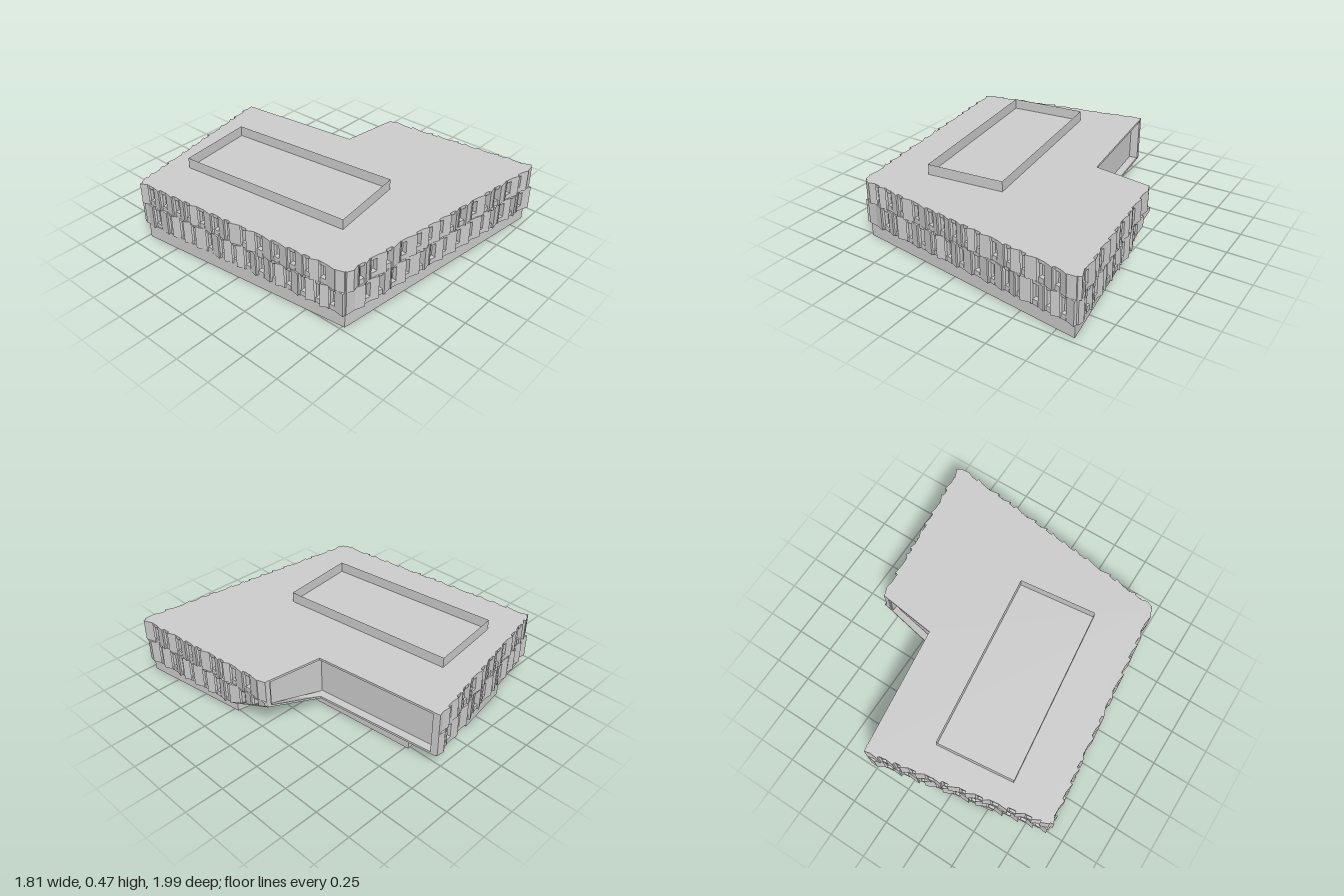
import * as THREE from 'three';
import { mergeGeometries } from 'three/addons/utils/BufferGeometryUtils.js';

// Plan corners are [x, z], clockwise seen from above, starting at the back right.
const A = [-0.885, -0.755], B = [0.285, -0.985], C = [0.385, -0.14];
const D = [0.765, -0.09], P = [0.8, 0.21], E = [0.88, 0.97], F = [-0.725, 0.765];

const material = new THREE.MeshStandardMaterial({ color: 0xcccccc, flatShading: true, side: THREE.DoubleSide });

let seed = 7;
const rand = () => (seed = (seed * 16807) % 2147483647) / 2147483647;

// Height by which the underside lifts towards the entrance corner D.
function lift(x, z) {
  if (z < -0.2 || x < 0.3) return 0;
  const side = ([px, pz]) => (px - C[0]) * (P[1] - C[1]) - (pz - C[1]) * (P[0] - C[0]);
  return 0.12 * Math.max(0, side([x, z]) / side(D));
}

// Vertical prism over a plan polygon; mode 'clip' trims it at the soffit, 'tilt' makes it follow the soffit.
function prism(points, y0, y1, mode) {
  const shape = new THREE.Shape(points.map(([x, z]) => new THREE.Vector2(x, -z)));
  const geo = new THREE.ExtrudeGeometry(shape, { depth: y1 - y0, bevelEnabled: false });
  geo.rotateX(-Math.PI / 2).translate(0, y0, 0);
  const pos = geo.attributes.position;
  for (let i = 0; mode && i < pos.count; i++) {
    const up = lift(pos.getX(i), pos.getZ(i)), y = pos.getY(i);
    pos.setY(i, mode === 'tilt' ? y + up : Math.max(y, up > 0 ? 0.1 + up : 0));
  }
  geo.computeVertexNormals();
  return geo;
}

// Relief facade along one edge: two staggered tiers of folded panels and recessed windows.
function facade(p, q) {
  const parts = [];
  const len = Math.hypot(q[0] - p[0], q[1] - p[1]);
  const u = [(q[0] - p[0]) / len, (q[1] - p[1]) / len];
  const at = (s, d) => [p[0] + u[0] * s + u[1] * d, p[1] + u[1] * s - u[0] * d];
  const block = (s0, s1, d0, d1, y0, y1) =>
    parts.push(prism([at(s0, -0.035), at(s1, -0.035), at(s1, d1), at(s0, d0)], y0, y1, 'clip'));
  for (const [y0, y1, shift] of [[0.095, 0.255, 0], [0.255, 0.4, 0.055]]) {
    let s = 0;
    if (shift) block(0, s = shift, 0.008, 0.02, y0, y1);
    while (s < len - 0.001) {
      const wide = 0.045 + 0.03 * rand();
      const mid = Math.min(len, s + wide);
      const fold = rand() < 0.5 ? [0.004, 0.024] : [0.024, 0.008];
      // folded solid panel
      block(s, mid, fold[0], fold[1], y0, y1);
      const end = Math.min(len, mid + 0.04 + 0.012 * rand());
      if (len - end < 0.03) {
        block(mid, len, fold[1], 0.01, y0, y1);
        break;
      }
      // window bay: sill, lintel and one slim side fin
      block(mid, end, 0.01, 0.006, y0, y0 + 0.035);
      block(mid, end, 0.01, 0.006, y1 - 0.022, y1);
      block(end - 0.012, end, 0.004, 0.012, y0, y1);
      s = end;
    }
  }
  return mergeGeometries(parts);
}

export function createModel() {
  const group = new THREE.Group();
  const add = (name, ...geos) => {
    const mesh = new THREE.Mesh(geos.length > 1 ? mergeGeometries(geos) : geos[0], material);
    mesh.name = name;
    group.add(mesh);
  };

  // Ground floor plinth, set back under the upper volume
  add('plinth', prism([[0.87, 0.965], [-0.725, 0.765], [-0.895, -0.73], [-0.53, -0.8], [-0.53, -0.83],
    [-0.13, -0.89], [-0.12, -0.74], [0.27, -0.77], [0.34, -0.03], [0.63, 0.2], [0.76, 0.22]], 0, 0.1));

  // Small service box and post beneath the rear overhang
  add('serviceBox', prism([[0.08, -0.84], [0.24, -0.86], [0.25, -0.76], [0.09, -0.74]], 0.03, 0.1));
  add('rearPost', prism([[0.19, -0.925], [0.21, -0.928], [0.212, -0.91], [0.192, -0.907]], 0.03, 0.1));

  // Wall core: window plane on the facades, recessed glazing in the notch
  const cIn = [0.335, -0.1], dIn = [0.74, -0.045], pIn = [0.78, 0.215];
  add('wallCore',
    prism([[-0.865, -0.738], [0.235, -0.953], cIn, pIn, [0.858, 0.947], [-0.705, 0.747]], 0.1, 0.39),
    prism([cIn, dIn, pIn], 0.1, 0.39, 'clip'));

  // Floor slab with the lifted entrance soffit, and the roof slab
  add('floorSlab', prism([A, B, C, P, E, F], 0.09, 0.105), prism([C, D, P], 0.09, 0.105, 'tilt'));
  add('roofSlab', prism([A, B, C, D, E, F], 0.385, 0.4));

  // Slim upright frames at both ends of the notch glazing
  add('notchFrame',
    prism([B, [0.288, -0.963], [0.228, -0.95], [0.225, -0.973]], 0.09, 0.4),
    prism([D, [0.74, -0.093], [0.73, -0.035], [0.765, -0.03]], 0.09, 0.4, 'clip'));

  // Relief facades
  add('backFacade', facade(A, B));
  add('leftFacade', facade(D, E));
  add('frontFacade', facade(E, F));
  add('rightFacade', facade(F, A));

  // Open screen of thin walls on the roof
  const screen = [[-0.58, -0.67], [-0.065, -0.727], [0.068, -0.452], [-0.447, 0.51]];
  screen[2] = [0.068, 0.452];
  add('roofScreen', ...screen.map(([x, z], i) => {
    const [x2, z2] = screen[(i + 1) % 4];
    const wall = new THREE.PlaneGeometry(Math.hypot(x2 - x, z2 - z), 0.07);
    return wall.rotateY(Math.PI - Math.atan2(z2 - z, x2 - x)).translate((x + x2) / 2, 0.435, (z + z2) / 2);
  }));

  return group;
}
